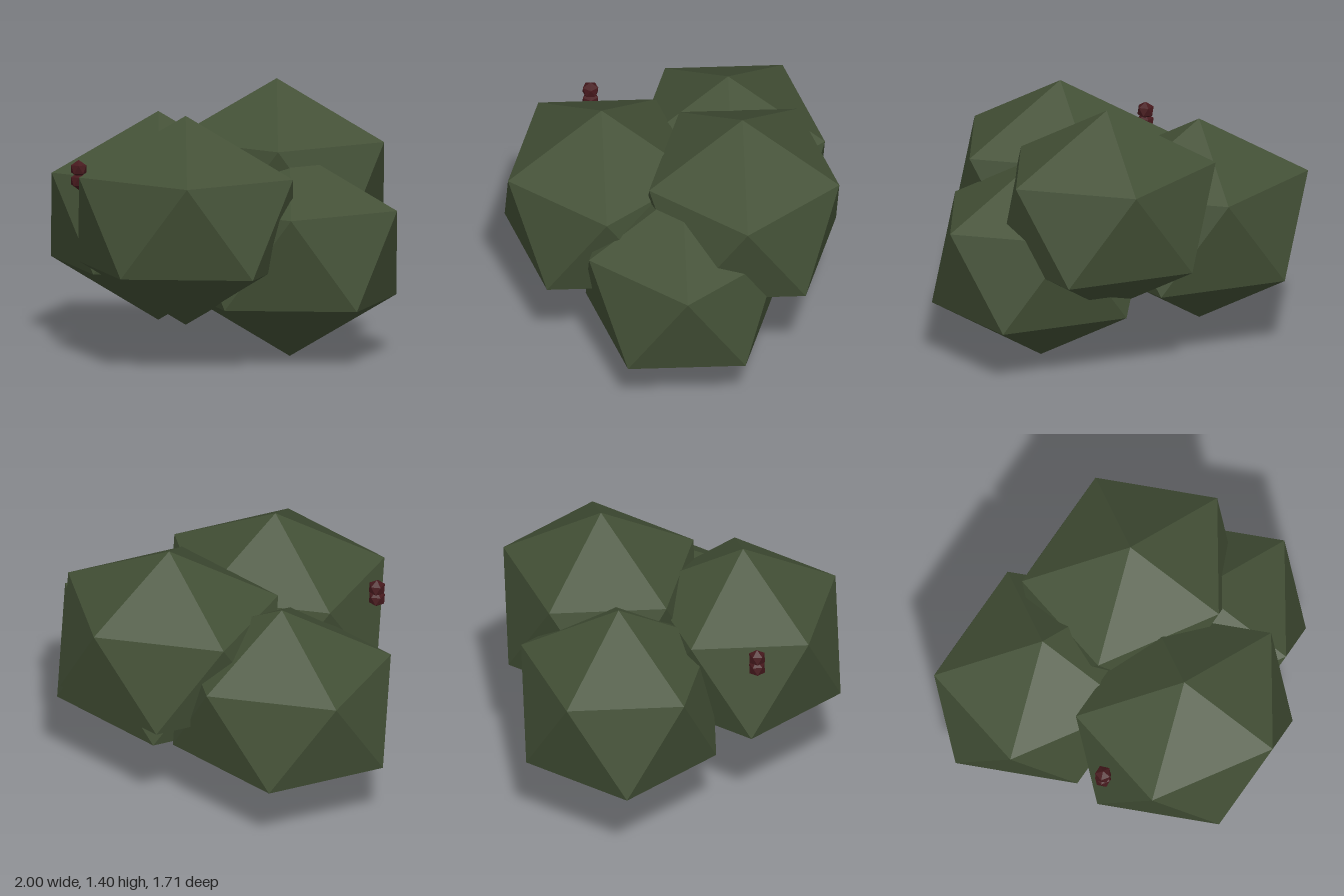
import * as THREE from 'three';

// Icosahedron standing on a vertex, with an upper-ring vertex towards +x
function uprightIcosahedron() {
  const golden = (1 + Math.sqrt(5)) / 2;
  return new THREE.IcosahedronGeometry(1, 0).rotateZ(-Math.atan(1 / golden));
}

export function createModel() {
  const group = new THREE.Group();
  group.name = 'bush';

  const leafGreen = new THREE.MeshStandardMaterial({ color: 0x435036, flatShading: true });
  leafGreen.name = 'leafGreen';
  const berryRed = new THREE.MeshStandardMaterial({ color: 0x46191d, flatShading: true });
  berryRed.name = 'berryRed';

  const shape = uprightIcosahedron();
  const add = (name, material, size, position) => {
    const mesh = new THREE.Mesh(shape, material);
    mesh.name = name;
    mesh.scale.set(...size);
    mesh.position.set(...position);
    group.add(mesh);
  };

  // Four equal, slightly flattened clumps of leaves
  const clumpSize = [0.66, 0.548, 0.58];
  add('leftFrontClump', leafGreen, clumpSize, [0.41, 0.55, -0.04]);
  add('rightBackClump', leafGreen, clumpSize, [-0.41, 0.652, -0.315]);
  add('frontClump', leafGreen, clumpSize, [-0.02, 0.752, 0.36]);
  add('topBackClump', leafGreen, clumpSize, [0.225, 0.852, -0.36]);

  // Pair of berries on the right side
  for (const y of [0.995, 0.932]) {
    add('berry', berryRed, [0.047, 0.047, 0.047], [-0.597, y, 0.39]);
  }

  return group;
}
